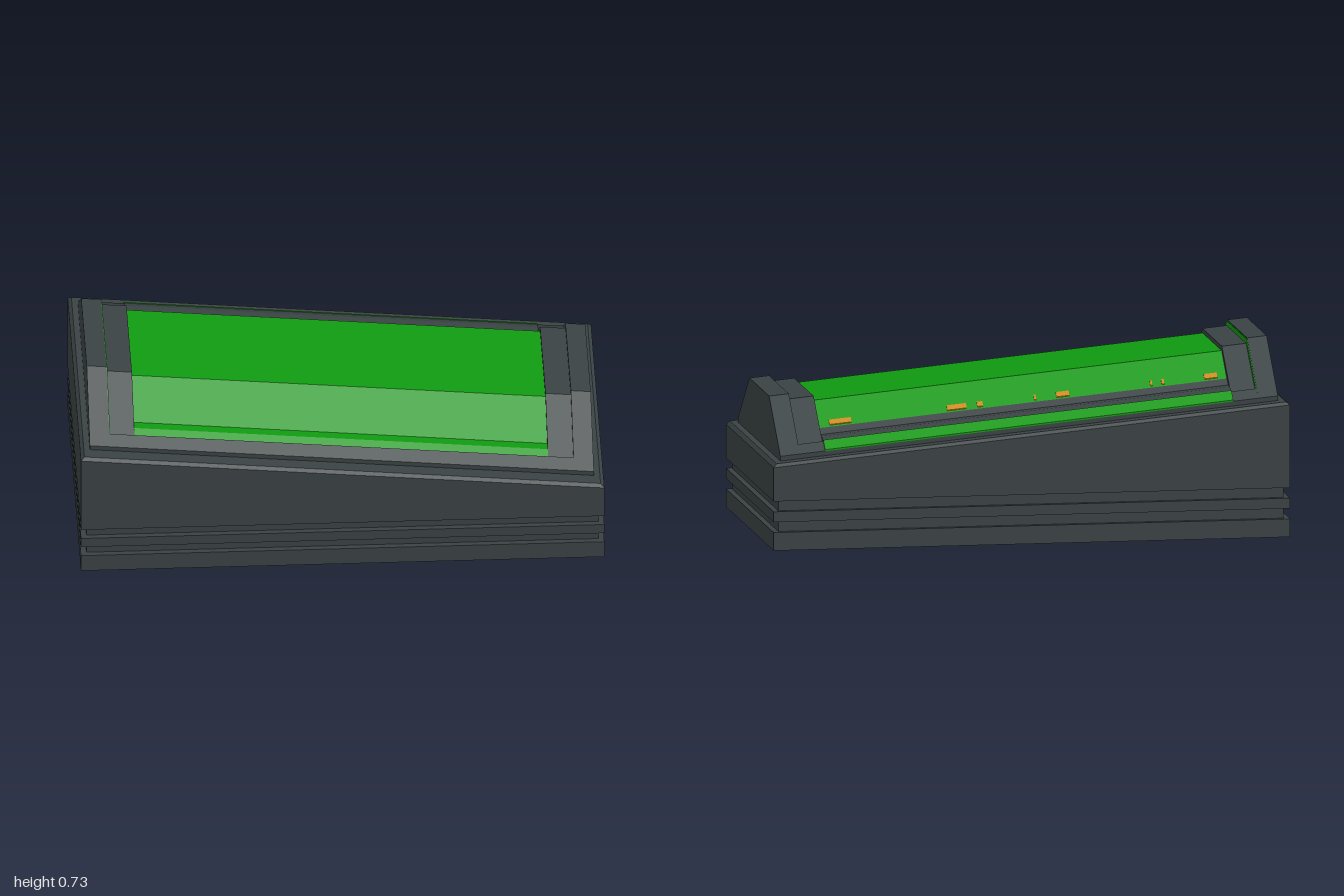
import * as THREE from 'three';

const SLOPE = 0.095; // the upper half leans down towards +x

const casing = new THREE.MeshStandardMaterial({ name: 'charcoal casing', color: 0x3a4244 });
const glow = new THREE.MeshStandardMaterial({ name: 'green panel', color: 0x109a10 });
const amber = new THREE.MeshStandardMaterial({ name: 'amber marker', color: 0xd08a10 });

// Move vertices by a rule and rebuild flat normals
function reshape(geometry, rule) {
  const g = geometry.index ? geometry.toNonIndexed() : geometry;
  const p = g.attributes.position;
  const v = new THREE.Vector3();
  for (let i = 0; i < p.count; i++) {
    v.fromBufferAttribute(p, i);
    rule(v);
    p.setXYZ(i, v.x, v.y, v.z);
  }
  g.computeVertexNormals();
  return g;
}

const lean = (v) => { v.y -= SLOPE * v.x; };

// Prism along x from a (z, y) outline, leaned with the deck
function prism(outline, x0, x1) {
  const shape = new THREE.Shape(outline.map(([z, y]) => new THREE.Vector2(-z, y)));
  const g = new THREE.ExtrudeGeometry(shape, { depth: x1 - x0, bevelEnabled: false });
  g.rotateY(Math.PI / 2);
  g.translate(x0, 0, 0);
  return reshape(g, lean);
}

// Full outline from its front half, listed from the bottom up
const mirrored = (half) => [...half, ...half.map(([z, y]) => [-z, y]).reverse()];

// Thin plate lying on a (z, y) path
const plate = (path, t) => [...path.map(([z, y]) => [z, y + t]), ...path.map(([z, y]) => [z, y - 0.002]).reverse()];

export function createModel() {
  const group = new THREE.Group();
  const add = (name, geometry, material) => {
    const mesh = new THREE.Mesh(geometry, material);
    mesh.name = name;
    group.add(mesh);
    return mesh;
  };

  // Stacked plinth with two grooves
  const layers = [[0, 0.07, 0], [0.07, 0.11, 0.022], [0.11, 0.15, 0], [0.15, 0.19, 0.022]];
  layers.forEach(([y0, y1, inset], i) => {
    const g = new THREE.BoxGeometry(2 - 2 * inset, y1 - y0, 1.09 - 2 * inset);
    g.translate(0, (y0 + y1) / 2, 0);
    add(inset ? `groove${i}` : `plinthBand${i}`, g, casing);
  });

  // Wedge body with a narrow chamfered rim
  add('body', reshape(new THREE.BoxGeometry(2, 1, 1.09), (v) => {
    if (v.y > 0) { v.y = 0.415; lean(v); } else v.y = 0.19;
  }), casing);
  add('rim', reshape(new THREE.BoxGeometry(2, 1, 1.09), (v) => {
    if (v.y > 0) { v.y = 0.427; v.x *= 0.986; v.z *= 0.978; } else v.y = 0.415;
    lean(v);
  }), casing);

  // Faceted end caps, each with a lower inner step
  const outer = mirrored([[0.482, 0.42], [0.482, 0.445], [0.225, 0.638]]);
  const step = mirrored([[0.442, 0.42], [0.442, 0.455], [0.222, 0.617]]);
  for (const s of [-1, 1]) {
    const side = s < 0 ? 'right' : 'left';
    const span = (a, b) => (s < 0 ? [-b, -a] : [a, b]);
    add(`${side}EndCap`, prism(outer, ...span(0.887, 0.963)), casing);
    add(`${side}CapStep`, prism(step, ...span(0.79, 0.887)), casing);
  }

  // Lit strip on the inner face of the tall cap
  const lit = mirrored([[0.442, 0.45], [0.442, 0.472], [0.224, 0.635]]);
  add('capGlow', prism(lit, -0.887, -0.884), glow);

  // Sloping side frames between the caps
  for (const s of [-1, 1]) {
    const frame = [[0.482, 0.42], [0.482, 0.445], [0.44, 0.476], [0.435, 0.42]].map(([z, y]) => [s * z, y]);
    add(s > 0 ? 'frontFrame' : 'backFrame', prism(frame, -0.887, 0.887), casing);
  }
  add('backGlow', prism(plate([[-0.483, 0.446], [-0.441, 0.477]], 0.004), -0.79, 0.79), glow);

  // Faceted panel between the caps
  const panel = mirrored([[0.438, 0.42], [0.438, 0.462], [0.405, 0.485], [0.367, 0.485], [0.218, 0.6]]);
  add('panel', prism(panel, -0.79, 0.79), glow);
  const ledge = [[-0.34, 0.506], [-0.367, 0.485], [-0.405, 0.485], [-0.44, 0.472]];
  add('backLedge', prism(plate(ledge, 0.005), -0.79, 0.79), casing);

  // Small markers along the back of the panel
  const markers = [[-0.73, 0.05], [-0.545, 0.01], [-0.5, 0.008], [-0.157, 0.05], [-0.05, 0.008],
    [0.163, 0.022], [0.253, 0.075], [0.704, 0.085]];
  markers.forEach(([x, w], i) => {
    add(`marker${i}`, prism(plate([[-0.308, 0.5305], [-0.328, 0.5151]], 0.003), x - w / 2, x + w / 2), amber);
  });

  return group;
}
